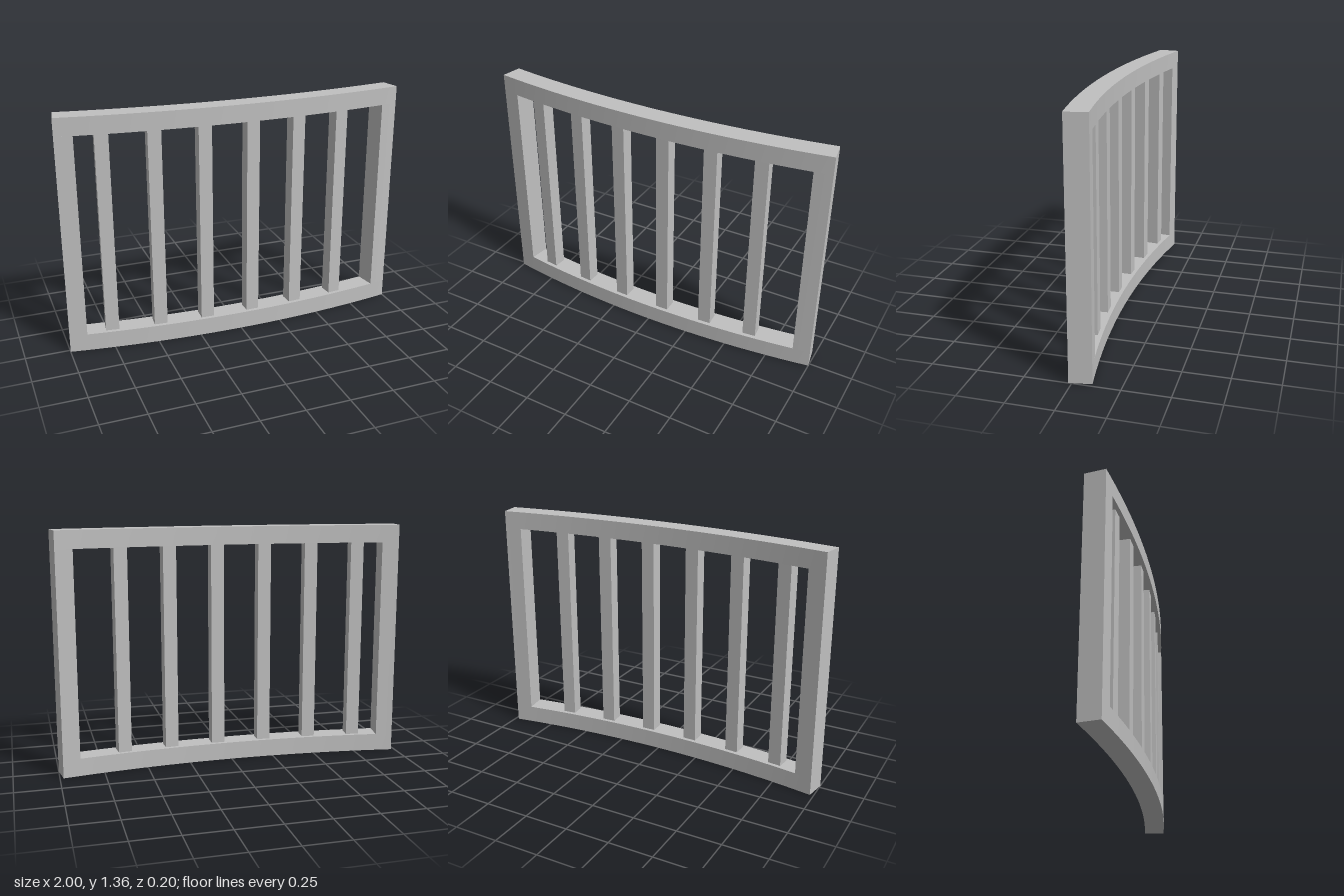
import * as THREE from 'three';

const FRONT_R = 6.07, DEPTH = 0.12, MID_R = FRONT_R - DEPTH / 2;
const CENTRE_Z = 0.1 - FRONT_R; // axis of the curve
const HEIGHT = 1.356, RAIL = 0.1;
const END = Math.asin(1 / FRONT_R), JAMB = Math.asin(0.902 / FRONT_R);

// A box bent around the vertical axis, from angle a0 to a1 and height y0 to y1
function bentBox(a0, a1, y0, y1, segments) {
  const geo = new THREE.BoxGeometry(a1 - a0, y1 - y0, DEPTH, segments, 1, 1);
  geo.translate((a0 + a1) / 2, (y0 + y1) / 2, 0);
  const p = geo.attributes.position;
  for (let i = 0; i < p.count; i++) {
    const a = p.getX(i), r = MID_R + p.getZ(i);
    p.setXYZ(i, r * Math.sin(a), p.getY(i), CENTRE_Z + r * Math.cos(a));
  }
  geo.computeVertexNormals();
  return geo;
}

export function createModel() {
  const group = new THREE.Group();
  group.name = 'curvedRailing';
  const grey = new THREE.MeshStandardMaterial({ color: 0xc0c0c0 });
  grey.name = 'grey';

  const add = (name, geometry) => {
    const mesh = new THREE.Mesh(geometry, grey);
    mesh.name = name;
    group.add(mesh);
    return mesh;
  };

  // Curved outer frame
  add('bottomRail', bentBox(-END, END, 0, RAIL, 32));
  add('topRail', bentBox(-END, END, HEIGHT - RAIL, HEIGHT, 32));
  add('rightStile', bentBox(-END, -JAMB, RAIL, HEIGHT - RAIL, 2));
  add('leftStile', bentBox(JAMB, END, RAIL, HEIGHT - RAIL, 2));

  // Square bars, evenly stepped along the curve and turned to follow it
  const barGeometry = new THREE.BoxGeometry(0.075, HEIGHT - 2 * RAIL, 0.075);
  for (let i = 0; i < 6; i++) {
    const a = -0.1253 + i * 0.0461;
    const bar = add(`bar${i + 1}`, barGeometry);
    bar.position.set(MID_R * Math.sin(a), HEIGHT / 2, CENTRE_Z + MID_R * Math.cos(a));
    bar.rotation.y = a;
  }
  return group;
}
